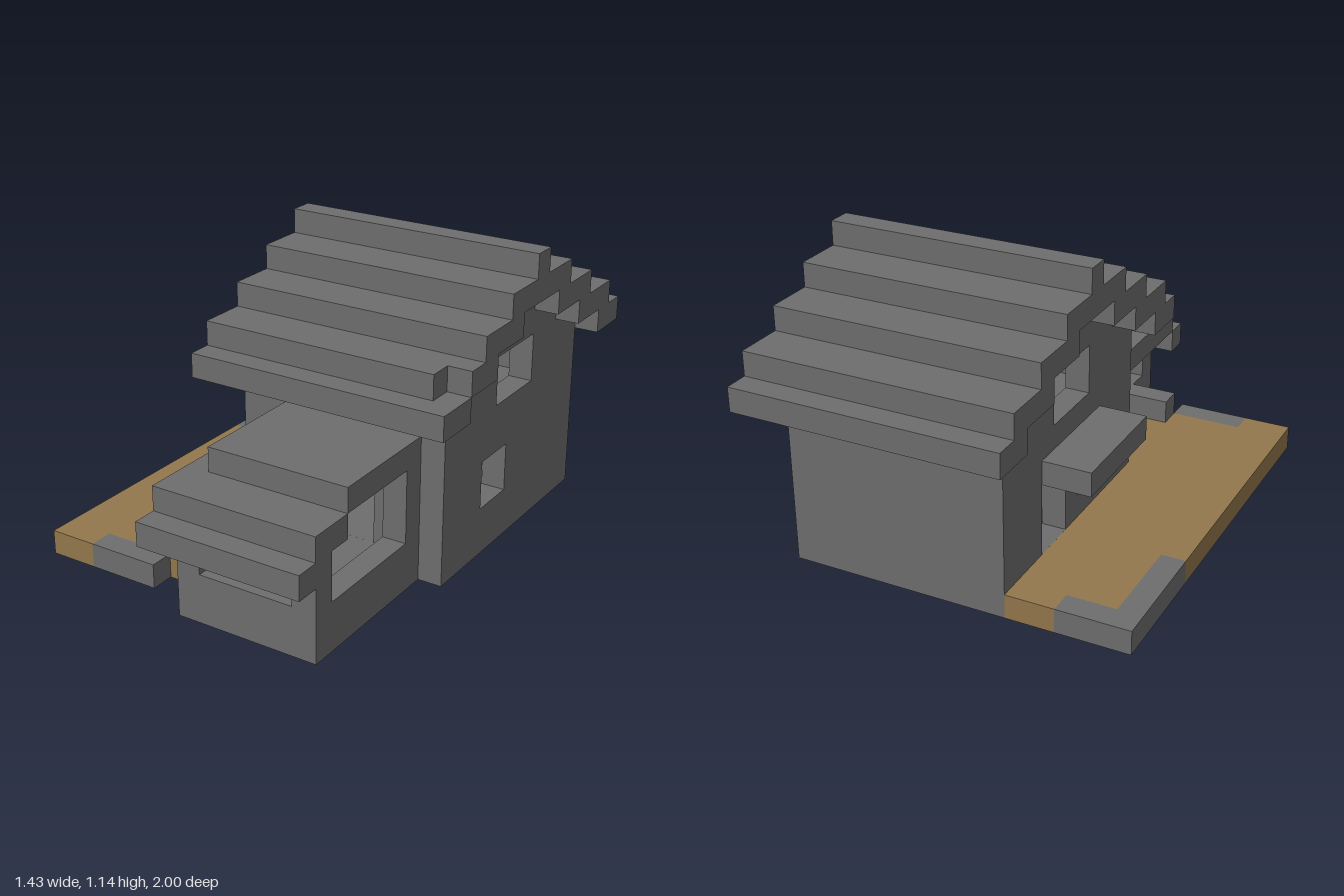
import * as THREE from 'three';

// All parts are laid out in block units: x 0..15, y 0..12, z 0..21
const U = 2 / 21;

export function createModel() {
  const stone = new THREE.MeshStandardMaterial({ color: 0x6e6e6e });
  stone.name = 'stone grey';
  const earth = new THREE.MeshStandardMaterial({ color: 0x93774c });
  earth.name = 'earth brown';

  const model = new THREE.Group();
  model.name = 'house';
  const blocks = new THREE.Group();
  blocks.name = 'blocks';
  blocks.scale.setScalar(U);
  blocks.position.set(-7.5 * U, 0, -10.5 * U);
  model.add(blocks);

  const add = (name, geometry, material = stone) => {
    const mesh = new THREE.Mesh(geometry, material);
    mesh.name = name;
    blocks.add(mesh);
  };
  // Box from its lower and upper corner ranges
  const box = (name, [x0, x1], [y0, y1], [z0, z1], material) =>
    add(name, new THREE.BoxGeometry(x1 - x0, y1 - y0, z1 - z0)
      .translate((x0 + x1) / 2, (y0 + y1) / 2, (z0 + z1) / 2), material);
  const points = list => list.map(([a, b]) => new THREE.Vector2(a, b));
  const rect = (a0, a1, b0, b1) => [[a0, b0], [a1, b0], [a1, b1], [a0, b1]];
  // One block thick plate with holes
  const plate = (outline, holes = []) => {
    const shape = new THREE.Shape(points(outline));
    holes.forEach(h => shape.holes.push(new THREE.Path(points(h))));
    return new THREE.ExtrudeGeometry(shape, { depth: 1, bevelEnabled: false });
  };
  // Plate drawn in (z, y), starting at x
  const sideWall = (name, x, outline, holes) =>
    add(name, plate(outline, holes).rotateY(-Math.PI / 2).translate(x + 1, 0, 0));
  // Plate drawn in (x, y), starting at z
  const crossWall = (name, z, outline, holes) =>
    add(name, plate(outline, holes).translate(0, 0, z));

  // Floors; the ground floor has an L-shaped stair opening
  add('groundFloor', plate(rect(5, 14, 2, 13),
    [[[11, 3], [13, 3], [13, 6], [12, 6], [12, 4], [11, 4]]])
    .rotateX(Math.PI / 2).translate(0, 1, 0));
  box('upperFloor', [6, 13], [4, 5], [3, 12]);

  // Stepped gable walls
  const gable = [[2, 1], [13, 1], [13, 8], [11, 8], [11, 9], [9, 9], [9, 10],
    [6, 10], [6, 9], [4, 9], [4, 8], [2, 8]];
  const upperWindow = rect(6, 9, 6, 8);
  const lowerWindow = rect(8, 10, 2, 4);
  sideWall('rightGable', 13, gable, [upperWindow, lowerWindow]);
  sideWall('doorGable', 5, gable, [upperWindow, lowerWindow, rect(5, 7, 1.001, 4)]);

  // Front and back walls of the main house
  crossWall('frontWall', 12, rect(6, 13, 1, 8),
    [rect(8, 11, 6, 7.99), rect(8, 11, 1.001, 4)]);
  box('backWall', [6, 13], [1, 8], [2, 3]);

  // Stepped roof: [y, z start, z end], mirrored about the ridge at z = 7.5
  for (const [y, z0, z1] of [[7, 13, 15], [9, 9, 12]]) {
    box('roofStepFront', [4, 15], [y, y + 1], [z0, z1]);
    box('roofStepBack', [4, 15], [y, y + 1], [15 - z1, 15 - z0]);
  }
  box('roofStepBack', [4, 15], [8, 9], [1, 4]);
  box('roofStepFront', [4, 15], [8, 9], [11, 13]);
  box('roofStepFrontEdge', [4, 14], [8, 9], [13, 14]); // one block short
  box('roofTop', [4, 15], [10, 11], [5, 10]);
  box('roofRidge', [4, 15], [11, 12], [7, 8]);

  // Canopy over the door
  box('doorCanopy', [3, 5], [4, 5], [5, 10]);

  // Front annex with open sides and a stepped roof
  box('annexFloor', [7, 13], [0, 1], [13, 20]);
  const annexSide = [[13, 1], [20, 1], [20, 4], [19, 4], [19, 2], [14, 2], [14, 5], [13, 5]];
  sideWall('annexLeftWall', 7, annexSide);
  sideWall('annexRightWall', 12, annexSide);
  crossWall('annexFrontWall', 19, rect(8, 12, 1, 2));
  box('annexRoofTop', [7, 13], [5, 6], [13, 18]);
  box('annexRoofMiddle', [6, 13], [4, 5], [18, 20]);
  box('annexRoofFront', [6, 13], [3, 4], [20, 21]);
  box('annexSideEave', [6, 7], [4, 5], [13, 18]);

  // Yard with stone paving along two edges
  const ground = [0, 1];
  box('yard', [1, 5], ground, [3, 18], earth);
  box('yardEdge', [0, 1], ground, [7, 18], earth);
  box('yardBack', [3, 5], ground, [2, 3], earth);
  box('yardFront', [0, 2], ground, [18, 19], earth);
  box('yardByAnnex', [5, 7], ground, [13, 18], earth);
  box('backPaving', [0, 3], ground, [2, 3]);
  box('sidePaving', [0, 1], ground, [3, 7]);
  box('frontPaving', [2, 5], ground, [18, 19]);
  box('lowYardWall', [5, 7], [1, 2], [17, 18]);

  return model;
}
